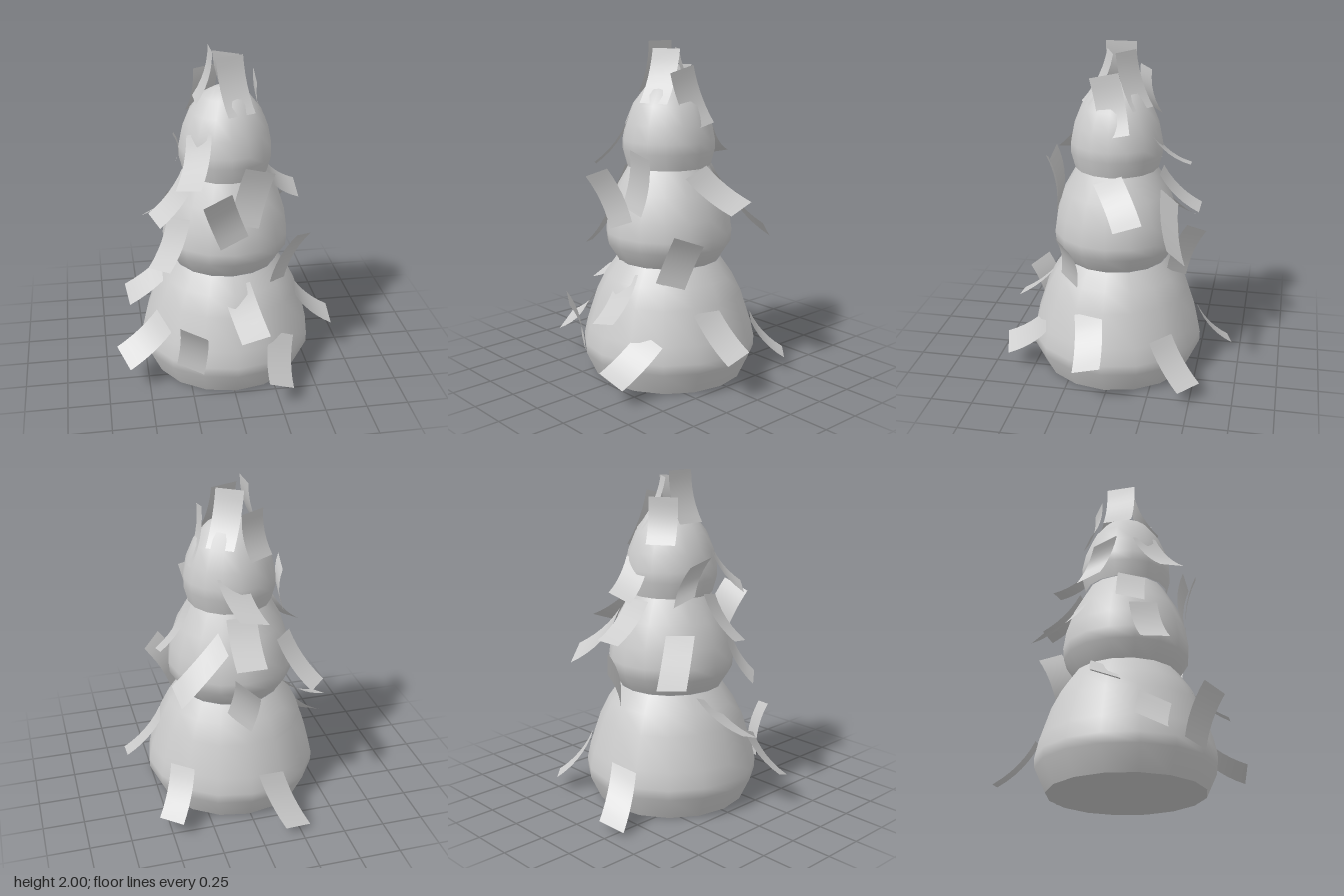
import * as THREE from 'three';

const material = new THREE.MeshStandardMaterial({ color: 0xcccccc });
const stripMaterial = new THREE.MeshStandardMaterial({ color: 0xcccccc, side: THREE.DoubleSide });
const SIDES = 16;

// Body tiers: [radius, height] profiles, bottom to top
const tiers = {
  lowerBody: [[0.46, 0], [0.525, 0.14], [0.527, 0.2], [0.505, 0.3], [0.44, 0.5], [0.385, 0.61], [0.315, 0.71]],
  middleBody: [[0.31, 0.71], [0.375, 0.81], [0.381, 0.88], [0.365, 0.99], [0.32, 1.13], [0.235, 1.28]],
  head: [[0.25, 1.275], [0.275, 1.37], [0.275, 1.43], [0.255, 1.53], [0.21, 1.64], [0.14, 1.73], [0.07, 1.77], [0, 1.785]],
};

// Paper strips: [upper edge centre], [lower edge centre], [vector across the width]
const strips = {
  headStrip: [
    [[0.03, 1.96, 0.055], [0.08, 1.655, 0.2], [0.165, 0, -0.065]],
    [[0.02, 1.96, -0.035], [0.11, 1.65, -0.15], [0.14, 0, 0.095]],
    [[-0.075, 2, 0.01], [-0.168, 1.7, 0.01], [0, 0, 0.18]],
    [[0.175, 1.85, 0.065], [0.265, 1.52, -0.015], [0.01, 0.04, -0.17]],
    [[-0.085, 1.855, -0.135], [-0.125, 1.59, -0.195], [0.15, 0, -0.09]],
    [[-0.163, 1.55, 0.18], [-0.25, 1.29, 0.37], [0.13, 0.04, 0.11]],
    [[-0.29, 1.49, -0.03], [-0.267, 1.27, -0.14], [0.02, -0.045, -0.15]],
    [[0.055, 1.48, -0.21], [-0.022, 1.3, -0.42], [0.175, 0.04, -0.01]],
  ],
  middleStrip: [
    [[-0.1, 1.265, 0.48], [0.01, 0.957, 0.39], [0.165, 0.065, -0.03]],
    [[0.158, 1.385, 0.37], [0.07, 1.045, 0.36], [0.17, -0.04, 0]],
    [[0.26, 1.26, 0.03], [0.48, 1.055, -0.125], [0, 0.06, -0.165]],
    [[0.135, 1.14, -0.315], [0.43, 0.88, -0.395], [0.035, 0.1, 0.1]],
    [[-0.27, 1.08, -0.175], [-0.42, 0.83, -0.39], [0.115, 0, -0.12]],
    [[0.01, 1.26, -0.25], [0.01, 1.04, -0.485], [0.18, 0, 0]],
    [[0.45, 0.92, 0.26], [0.29, 0.62, 0.26], [0.11, -0.05, -0.12]],
    [[0.03, 0.91, -0.47], [0.05, 0.62, -0.355], [-0.12, -0.08, -0.105]],
    [[-0.29, 1.05, 0.2], [-0.42, 0.765, 0.3], [0.115, 0.03, 0.14]],
    [[-0.22, 1.275, 0.115], [-0.43, 1.02, 0.16], [0.055, -0.03, 0.155]],
  ],
  lowerStrip: [
    [[0.025, 0.655, 0.355], [0.105, 0.43, 0.61], [0.17, 0.035, -0.015]],
    [[0.295, 0.34, 0.41], [0.25, 0.14, 0.67], [0.155, -0.07, -0.04]],
    [[-0.255, 0.495, 0.59], [-0.265, 0.18, 0.475], [0.15, -0.035, 0.085]],
    [[-0.4, 0.415, 0.29], [-0.652, 0.195, 0.325], [0.07, -0.07, 0.16]],
    [[-0.32, 0.67, -0.02], [-0.603, 0.49, 0.07], [0.02, -0.06, 0.16]],
    [[0.43, 0.49, 0.115], [0.675, 0.245, 0.08], [0.005, 0.045, -0.165]],
    [[0.39, 0.34, -0.31], [0.505, 0.09, -0.495], [-0.12, 0.01, -0.115]],
    [[-0.115, 0.31, -0.48], [-0.23, 0.04, -0.68], [0.165, 0.03, -0.04]],
  ],
};

// A thin rectangle bent along its length so that its middle sags towards the body
function stripGeometry(upper, lower, across) {
  const a = new THREE.Vector3(...upper);
  const b = new THREE.Vector3(...lower);
  const w = new THREE.Vector3(...across);
  const middle = a.clone().add(b).multiplyScalar(0.5);
  const inward = b.clone().sub(a).cross(w).normalize();
  if (inward.x * middle.x + inward.z * middle.z > 0) inward.negate();
  const curve = new THREE.QuadraticBezierCurve3(a, middle.addScaledVector(inward, 0.05), b);

  const geometry = new THREE.PlaneGeometry(1, 1, 1, 6);
  const position = geometry.attributes.position;
  for (let i = 0; i < position.count; i++) {
    const p = curve.getPoint(0.5 - position.getY(i)).addScaledVector(w, position.getX(i));
    position.setXYZ(i, p.x, p.y, p.z);
  }
  geometry.computeVertexNormals();
  return geometry;
}

export function createModel() {
  const model = new THREE.Group();
  model.name = 'layeredFigure';

  // Three stacked rounded tiers
  const body = new THREE.Group();
  body.name = 'body';
  body.position.set(0.01, 0, 0.02);
  for (const [name, profile] of Object.entries(tiers)) {
    const points = profile.map(([r, y]) => new THREE.Vector2(r, y));
    const tier = new THREE.Mesh(new THREE.LatheGeometry(points, SIDES), material);
    tier.name = name;
    body.add(tier);
  }

  // Flat underside
  const base = new THREE.Mesh(new THREE.CircleGeometry(0.46, SIDES), material);
  base.name = 'base';
  base.rotation.x = Math.PI / 2;
  body.add(base);
  model.add(body);

  // Curled strips around each tier
  for (const [name, list] of Object.entries(strips)) {
    const ring = new THREE.Group();
    ring.name = name + 'Ring';
    list.forEach((strip, i) => {
      const mesh = new THREE.Mesh(stripGeometry(...strip), stripMaterial);
      mesh.name = name + (i + 1);
      ring.add(mesh);
    });
    model.add(ring);
  }
  return model;
}
